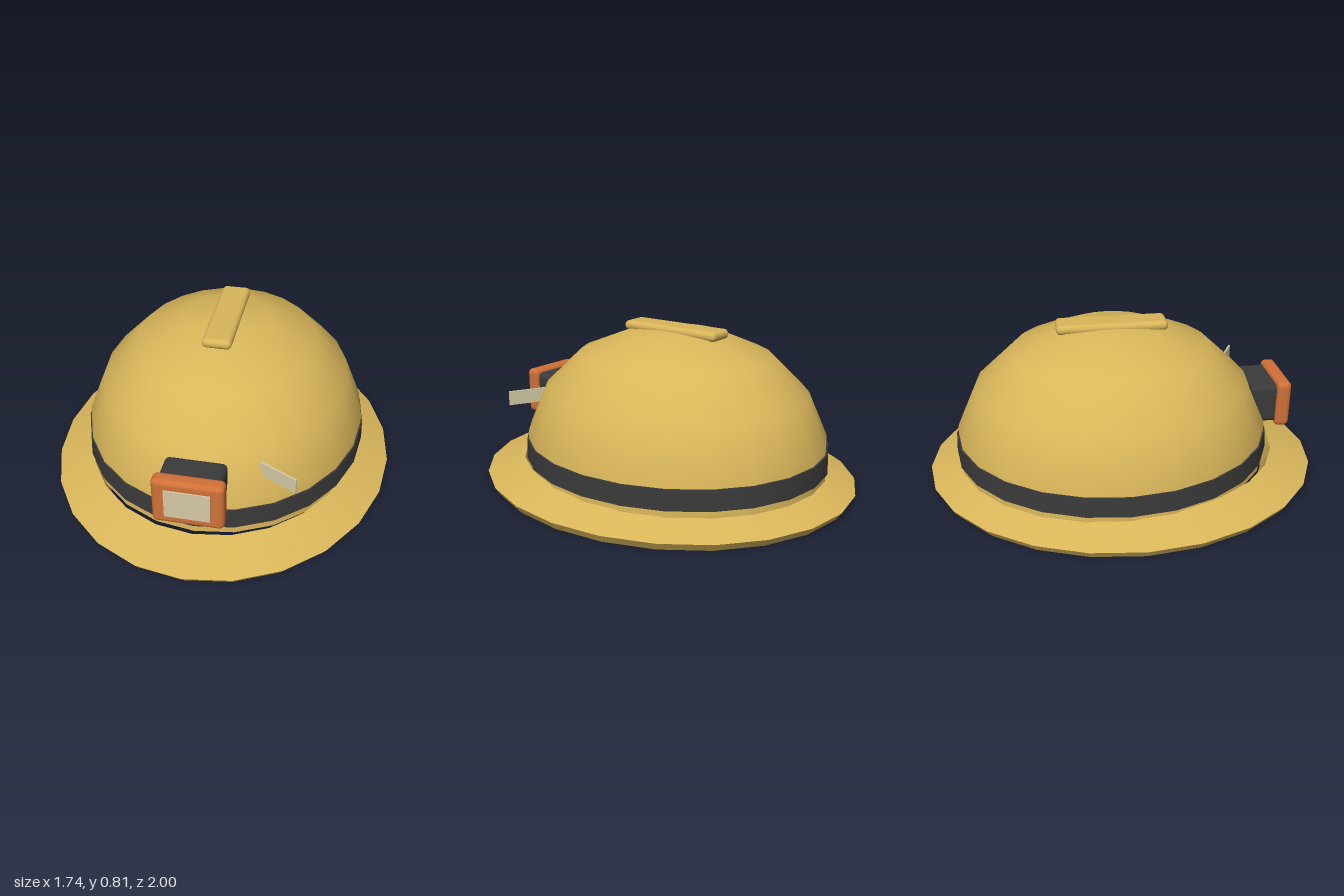
import * as THREE from 'three';
import { RoundedBoxGeometry } from 'three/addons/geometries/RoundedBoxGeometry.js';

const material = (name, color) => {
  const m = new THREE.MeshStandardMaterial({ color });
  m.name = name;
  return m;
};

export function createModel() {
  const model = new THREE.Group();
  model.name = 'helmet';
  const yellow = material('yellow shell', 0xd9b65a);
  const black = material('black rubber', 0x3a3a3a);
  const orange = material('orange casing', 0xd07038);
  const cream = material('cream lens', 0xd6cba6);

  const add = (name, geometry, mat, x = 0, y = 0, z = 0) => {
    const mesh = new THREE.Mesh(geometry, mat);
    mesh.name = name;
    mesh.position.set(x, y, z);
    model.add(mesh);
    return mesh;
  };
  // Oval 24-sided ring: a lathe stretched front to back
  const oval = (name, profile, mat, stretch, z = 0) => {
    const points = profile.map(([r, y]) => new THREE.Vector2(r, y));
    const geometry = new THREE.LatheGeometry(points, 24);
    geometry.scale(1, 1, stretch);
    return add(name, geometry, mat, 0, 0, z);
  };
  // One lathe per profile segment, so every corner stays crisp
  const crispOval = (name, profile, mat, stretch, z = 0) => {
    for (let i = 0; i < profile.length - 1; i++) {
      oval(name, [profile[i], profile[i + 1]], mat, stretch, z);
    }
  };

  // Dome: smooth outside, thick lip, tapered cavity with a ceiling
  const domeZ = -0.05, domeStretch = 1.118;
  oval('domeOutside', [[0.715, 0.09], [0.709, 0.27], [0.62, 0.49], [0.45, 0.67],
    [0.225, 0.77], [0, 0.792]], yellow, domeStretch, domeZ);
  crispOval('domeInside', [[0, 0.52], [0.57, 0.51], [0.665, 0.09], [0.715, 0.09]],
    yellow, domeStretch, domeZ);

  // Brim: closed ring with a flat underside and a sloping top
  crispOval('brim', [[0.65, 0], [0.845, 0], [0.87, 0.04], [0.69, 0.115], [0.65, 0]],
    yellow, 1 / 0.87);

  // Rubber band around the dome
  crispOval('band', [[0.70, 0.13], [0.723, 0.13], [0.718, 0.23], [0.70, 0.23]],
    black, domeStretch, domeZ);

  // Ridge on the crown
  add('crownRidge', new RoundedBoxGeometry(0.144, 0.05, 0.555, 3, 0.024), yellow, 0, 0.785, -0.05);

  // Headlamp
  add('lampMount', new RoundedBoxGeometry(0.29, 0.205, 0.16, 3, 0.025), black, 0, 0.353, 0.735);
  add('lampCasing', new RoundedBoxGeometry(0.33, 0.245, 0.075, 3, 0.025), orange, 0, 0.353, 0.823);
  add('lampLens', new THREE.BoxGeometry(0.21, 0.15, 0.009), cream, 0, 0.355, 0.863);

  // Thin side clip with one cut corner, set at an angle
  const outline = [[-0.098, 0.037], [-0.098, 0], [-0.068, -0.037], [0.098, -0.037], [0.098, 0.037]];
  const clipShape = new THREE.Shape(outline.map(([x, y]) => new THREE.Vector2(x, y)));
  const clip = add('sideClip', new THREE.ExtrudeGeometry(clipShape, { depth: 0.01, bevelEnabled: false }),
    cream, 0.372, 0.4, 0.643);
  clip.rotation.y = -0.487;

  return model;
}
